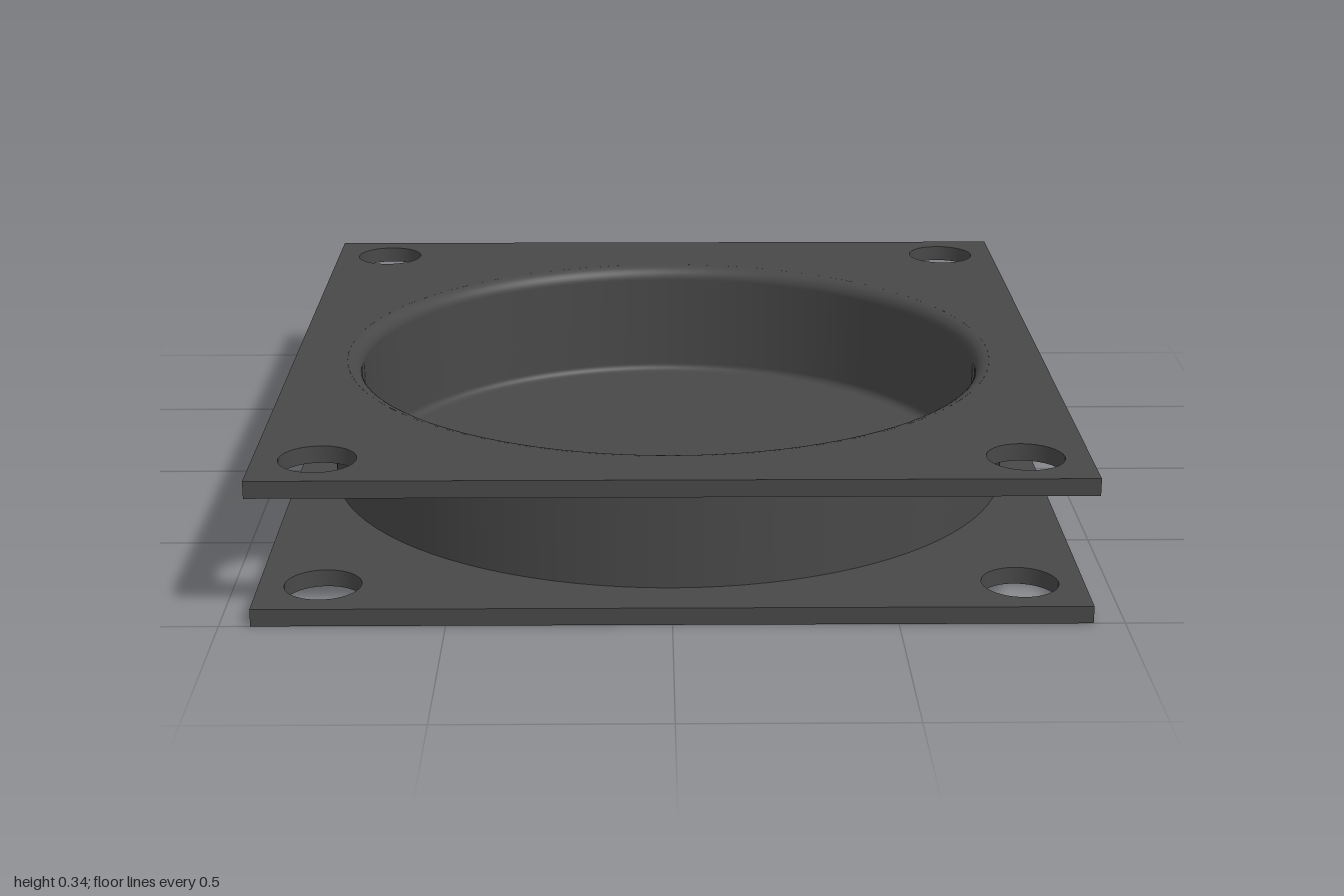
import * as THREE from 'three';

const HALF_X = 0.93, HALF_Z = 1, PLATE = 0.04, HEIGHT = 0.34;
const BORE_Z = 0.045, OUTER_R = 0.84, INNER_R = 0.767, LIP = 0.035, FILLET = 0.02;

const material = new THREE.MeshStandardMaterial({ color: 0x484848 });

// Rectangular plate with four bolt holes and an optional central opening
function plateGeometry(openingRadius) {
  const shape = new THREE.Shape();
  shape.moveTo(-HALF_X, -HALF_Z);
  shape.lineTo(HALF_X, -HALF_Z);
  shape.lineTo(HALF_X, HALF_Z);
  shape.lineTo(-HALF_X, HALF_Z);
  shape.closePath();
  const addHole = (x, y, r) => {
    const hole = new THREE.Path();
    hole.absarc(x, y, r, 0, Math.PI * 2, true);
    shape.holes.push(hole);
  };
  for (const sx of [-1, 1]) for (const sz of [-1, 1]) addHole(sx * 0.785, sz * 0.858, 0.087);
  if (openingRadius) addHole(0, -BORE_Z, openingRadius);
  const geometry = new THREE.ExtrudeGeometry(shape, { depth: PLATE, bevelEnabled: false, curveSegments: 96 });
  return geometry.rotateX(-Math.PI / 2);
}

// Quarter-round profile points about (cx, cy)
function arc(cx, cy, r, from, to, steps = 8) {
  return Array.from({ length: steps + 1 }, (_, i) => {
    const a = from + (to - from) * i / steps;
    return new THREE.Vector2(cx + r * Math.cos(a), cy + r * Math.sin(a));
  });
}

export function createModel() {
  const group = new THREE.Group();
  const add = (name, geometry, y = 0, z = 0) => {
    const mesh = new THREE.Mesh(geometry, material);
    mesh.name = name;
    mesh.position.set(0, y, z);
    group.add(mesh);
  };

  add('bottomPlate', plateGeometry(0));
  add('topPlate', plateGeometry(INNER_R + LIP), HEIGHT - PLATE);

  // Outer face of the round wall between the plates
  const wallHeight = HEIGHT - 2 * PLATE;
  add('outerWall', new THREE.CylinderGeometry(OUTER_R, OUTER_R, wallHeight, 96, 1, true),
    PLATE + wallHeight / 2, BORE_Z);

  // Inner face: rounded lip, straight wall and fillet down to the floor
  const profile = [
    ...arc(INNER_R + LIP, HEIGHT - LIP, LIP, Math.PI / 2, Math.PI),
    ...arc(INNER_R - FILLET, PLATE + FILLET, FILLET, 0, -Math.PI / 2),
  ];
  add('innerWall', new THREE.LatheGeometry(profile, 96), 0, BORE_Z);

  return group;
}
